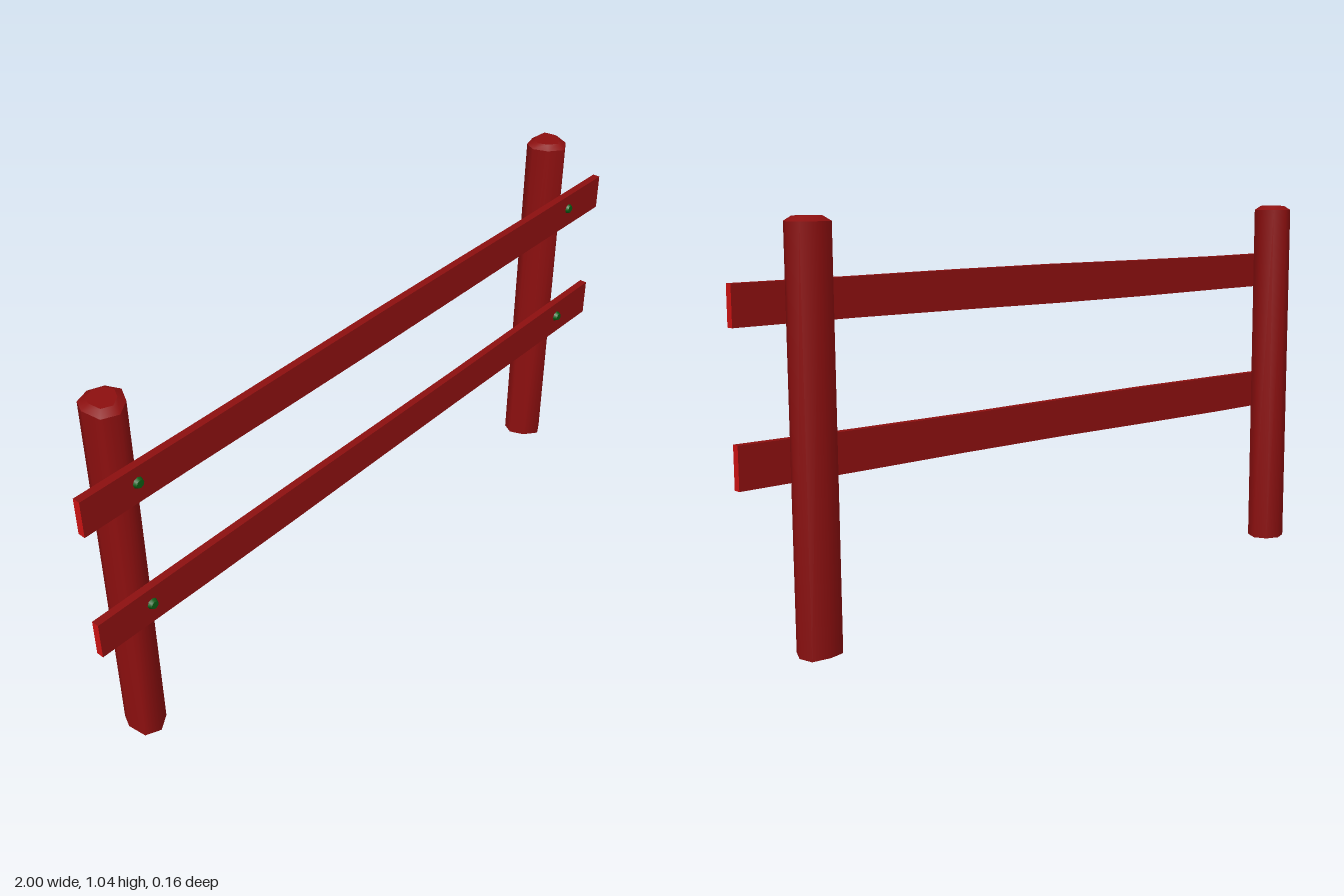
import * as THREE from 'three';

const wood = new THREE.MeshStandardMaterial({ color: 0x8c0f0f, name: 'red wood' });
const cutWood = new THREE.MeshStandardMaterial({ color: 0xcc1212, name: 'cut wood' });
const boltGreen = new THREE.MeshStandardMaterial({ color: 0x0a5a12, name: 'green bolt' });

// Slightly irregular post outlines, [x, z], clockwise from above
const outlines = {
  rightPost: [[-0.893, -0.027], [-0.877, -0.062], [-0.836, -0.077], [-0.797, -0.062],
    [-0.78, -0.025], [-0.803, 0.018], [-0.845, 0.046], [-0.886, 0.028]],
  leftPost: [[0.78, -0.03], [0.797, -0.062], [0.838, -0.073], [0.888, -0.068],
    [0.897, -0.027], [0.877, 0.018], [0.835, 0.042], [0.797, 0.012]],
};

function mesh(name, geometry, material) {
  const m = new THREE.Mesh(geometry, material);
  m.name = name;
  return m;
}

// A ring is the outline scaled about its centre at height y
function ring(outline, y, scale) {
  const n = outline.length;
  const cx = outline.reduce((s, p) => s + p[0], 0) / n;
  const cz = outline.reduce((s, p) => s + p[1], 0) / n;
  return outline.map(([x, z]) => [cx + (x - cx) * scale, y, cz + (z - cz) * scale]);
}

// Smooth band between two rings
function band(lower, upper) {
  const n = lower.length, index = [];
  for (let i = 0; i < n; i++) {
    const j = (i + 1) % n;
    index.push(j, i, n + i, j, n + i, n + j);
  }
  return surface([...lower, ...upper], index);
}

// Flat fan closing a ring
function cap(points, up) {
  const index = [];
  for (let i = 1; i < points.length - 1; i++) index.push(0, ...(up ? [i + 1, i] : [i, i + 1]));
  return surface(points, index);
}

function surface(points, index) {
  const g = new THREE.BufferGeometry();
  g.setAttribute('position', new THREE.Float32BufferAttribute(points.flat(), 3));
  g.setIndex(index);
  g.computeVertexNormals();
  return g;
}

function makePost(name, outline) {
  const post = new THREE.Group();
  post.name = name;
  const foot = ring(outline, 0, 1), shoulder = ring(outline, 1.033, 1), top = ring(outline, 1.045, 0.65);
  post.add(
    mesh('postSide', band(foot, shoulder), wood),
    mesh('postBevel', band(shoulder, top), wood),
    mesh('postTop', cap(top, true), wood),
    mesh('postFoot', cap(foot, false), cutWood),
  );
  return post;
}

// Rough-sawn rail: a long box whose edges waver a little along its length
function makeRail(name, y, z, height, phase) {
  const g = new THREE.BoxGeometry(2, height, 0.021, 6, 1, 1);
  const p = g.attributes.position;
  for (let i = 0; i < p.count; i++) {
    const x = p.getX(i), side = Math.sign(p.getY(i));
    p.setY(i, p.getY(i) + 0.002 * Math.sin(4 * x + phase + side));
    p.setZ(i, p.getZ(i) + 0.0015 * Math.sin(3 * x + phase));
  }
  g.computeVertexNormals();
  const rail = mesh(name, g, [cutWood, cutWood, wood, wood, wood, wood]);
  rail.position.set(0, y, z);
  return rail;
}

export function createModel() {
  const fence = new THREE.Group();
  fence.name = 'fence';

  for (const [name, outline] of Object.entries(outlines)) fence.add(makePost(name, outline));

  fence.add(makeRail('upperRail', 0.843, 0.059, 0.104, 0));
  fence.add(makeRail('lowerRail', 0.465, 0.056, 0.106, 2));

  // Bolt heads where each rail meets a post
  const boltGeometry = new THREE.CylinderGeometry(0.011, 0.017, 0.014, 8).rotateX(Math.PI / 2);
  for (const [y, z] of [[0.85, 0.071], [0.47, 0.069]]) {
    for (const x of [-0.838, 0.842]) {
      const bolt = mesh('bolt', boltGeometry, boltGreen);
      bolt.position.set(x, y, z);
      fence.add(bolt);
    }
  }
  return fence;
}
